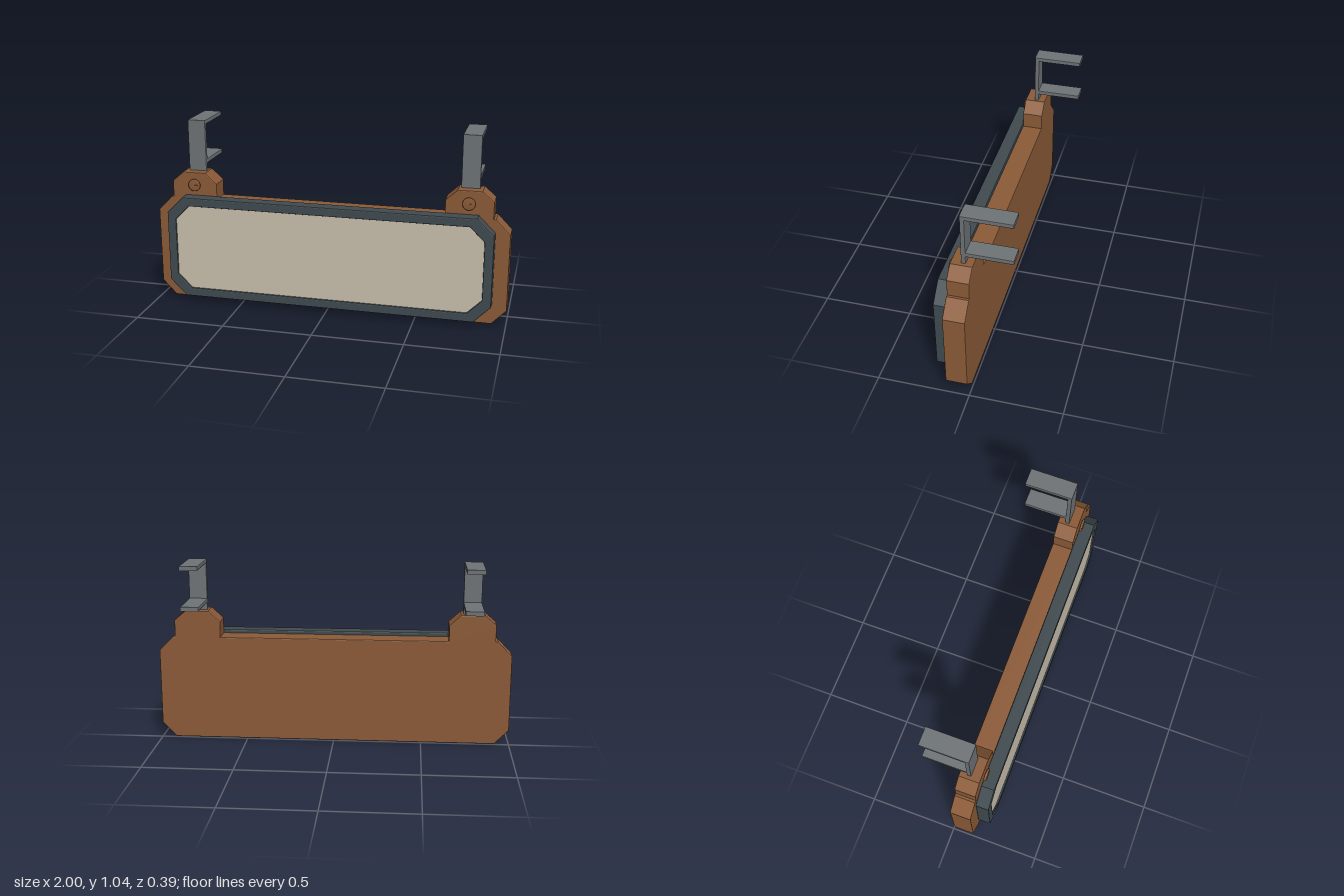
import * as THREE from 'three';

const material = (name, color) => {
  const m = new THREE.MeshStandardMaterial({ color });
  m.name = name;
  return m;
};

// Slab from an outline, with a small bevel kept inside the given size
function slab(points, from, to, bevel, hole) {
  const toV = (list) => list.map(([x, y]) => new THREE.Vector2(x, y));
  const shape = new THREE.Shape(toV(points));
  if (hole) shape.holes.push(new THREE.Path(toV(hole)));
  const geometry = new THREE.ExtrudeGeometry(shape, {
    depth: to - from - 2 * bevel,
    bevelEnabled: bevel > 0,
    bevelThickness: bevel,
    bevelSize: bevel,
    bevelOffset: -bevel,
    bevelSegments: 2,
  });
  return geometry.translate(0, 0, from + bevel);
}

// Rectangle with cut corners
function octagon(w, y0, y1, c) {
  return [
    [-w + c, y0], [w - c, y0], [w, y0 + c], [w, y1 - c],
    [w - c, y1], [-w + c, y1], [-w, y1 - c], [-w, y0 + c],
  ];
}

export function createModel() {
  const wood = material('brown casing', 0x8b5a37);
  const dark = material('dark slate rim', 0x3f4a4f);
  const metal = material('grey metal', 0x6e7376);
  const cream = material('cream panel', 0xc9c0ad);

  const model = new THREE.Group();
  model.name = 'hangingPanel';
  const add = (name, geometry, mat, parent = model) => {
    const mesh = new THREE.Mesh(geometry, mat);
    mesh.name = name;
    parent.add(mesh);
    return mesh;
  };

  // Casing with two raised mounting tabs, mirrored from its right half
  const half = [
    [0.92, 0], [1, 0.083], [1, 0.518], [0.92, 0.6], [0.907, 0.6], [0.907, 0.695],
    [0.843, 0.75], [0.71, 0.75], [0.645, 0.69], [0.645, 0.6],
  ];
  const outline = [...half, ...half.map(([x, y]) => [-x, y]).reverse()];
  add('casing', slab(outline, 0.008, 0.125, 0.005), wood);

  // Rim and the panel set into it
  const opening = octagon(0.87, 0.08, 0.57, 0.08);
  add('rim', slab(octagon(0.92, 0.03, 0.62, 0.093), 0.124, 0.198, 0.006, opening), dark);
  add('panel', slab(octagon(0.876, 0.074, 0.576, 0.08), 0.13, 0.188, 0), cream);

  // Bracket side profile as [z, y]: upright with two arms to the back
  const bracketProfile = [
    [0.048, 0.7], [0.072, 0.7], [0.072, 1.04], [-0.196, 1.04], [-0.196, 1.016],
    [0.048, 1.016], [0.048, 0.816], [-0.196, 0.816], [-0.196, 0.792], [0.048, 0.792],
  ];
  const bracket = slab(bracketProfile, -0.051, 0.051, 0.004).rotateY(-Math.PI / 2);

  // Rounded screw head
  const screwProfile = [[0, 0], [0.03, 0], [0.035, 0.004], [0.035, 0.01], [0.03, 0.014], [0, 0.014]]
    .map(([r, h]) => new THREE.Vector2(r, h));
  const screw = new THREE.LatheGeometry(screwProfile, 24).rotateX(Math.PI / 2);

  for (const [side, x] of [['left', 0.773], ['right', -0.773]]) {
    const mount = new THREE.Group();
    mount.name = side + 'Mount';
    mount.position.x = x;
    add('bracket', bracket, metal, mount);
    add('screwHead', screw, wood, mount).position.set(0, 0.68, 0.13);
    add('screwSlot', new THREE.BoxGeometry(0.045, 0.005, 0.006), wood, mount).position.set(0, 0.68, 0.144);
    model.add(mount);
  }
  return model;
}
